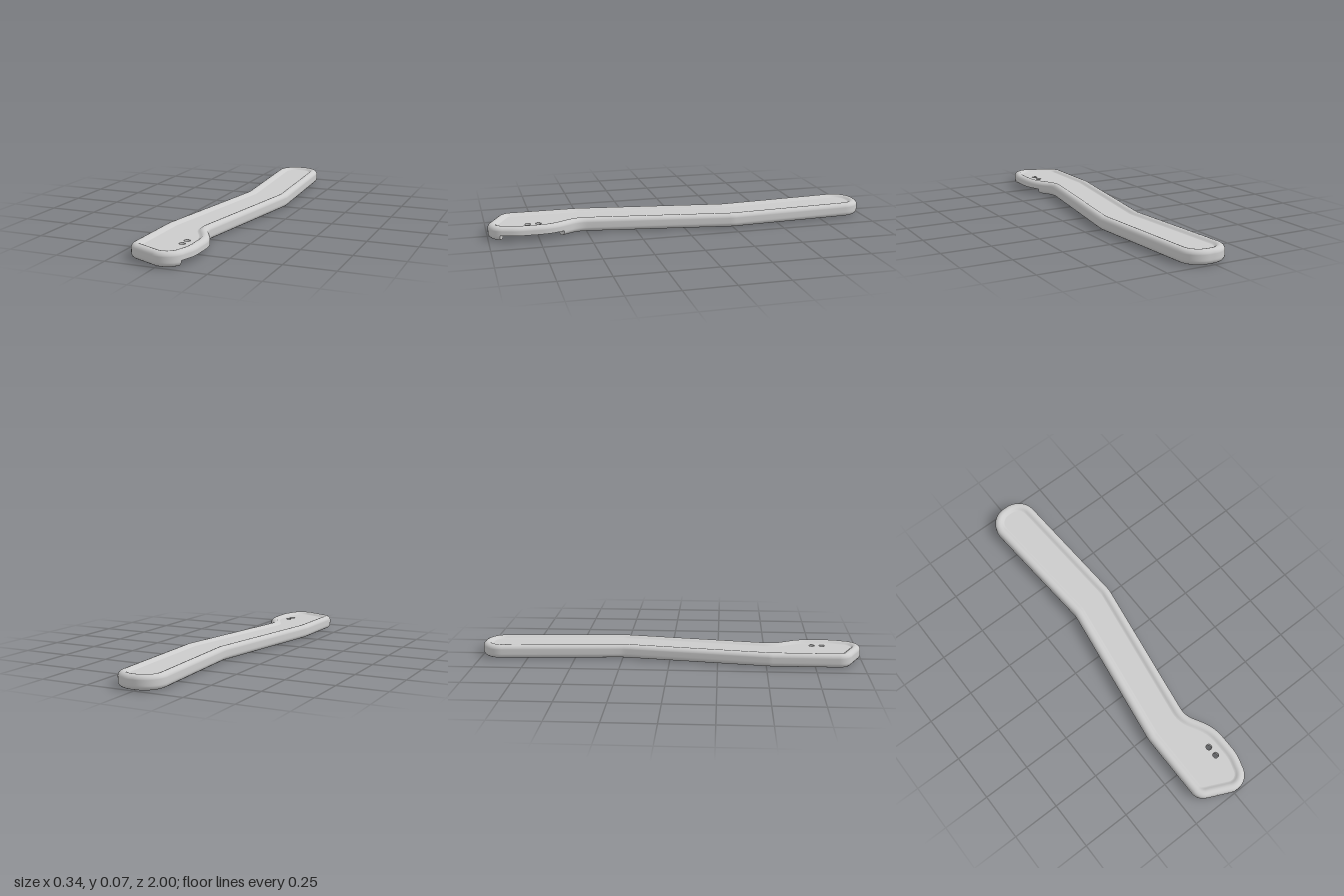
import * as THREE from 'three';

// Outline corners [x, z, fillet radius], clockwise seen from above
const CORNERS = [
  [-0.113, -1, 0.108], [0.127, -1, 0.108], [0.17, -0.25, 0.15], [0.048, 0.54, 0.12],
  [0.129, 0.68, 0.25], [0.129, 0.86, 0.2], [0.075, 1.032, 0.09],
  [-0.175, 0.915, 0.07], [-0.175, 0.52, 0.15], [-0.06, -0.25, 0.15],
];
// Rim section [inset, height] from the bottom floor, round the outside, to the top floor
const LOWER = [[0.052, 0.013], [0.047, 0.012], [0.041, 0.007], [0.034, 0.002], [0.026, 0],
  [0.018, 0.001], [0.011, 0.004], [0.005, 0.009], [0.001, 0.016], [0, 0.022], [0, 0.028]];
const HEIGHT = 0.072, CEILING = 0.028;
const PROFILE = [...LOWER, ...LOWER.slice(0, -1).reverse().map(([d, y]) => [d, HEIGHT - y])];
const HOLES = [[0.037, 0.745], [0.037, 0.798]], HOLE_R = 0.015;

// Polygon with filleted corners, resampled in short steps
function roundedOutline(corners) {
  const v = corners.map(([x, z]) => new THREE.Vector2(x, z)), n = v.length, raw = [];
  corners.forEach(([, , r], i) => {
    const a = v[(i + n - 1) % n].clone().sub(v[i]).normalize();
    const b = v[(i + 1) % n].clone().sub(v[i]).normalize();
    const half = Math.acos(a.dot(b)) / 2;
    const centre = a.clone().add(b).normalize().multiplyScalar(r / Math.sin(half)).add(v[i]);
    const t = r / Math.tan(half);
    const from = v[i].clone().addScaledVector(a, t).sub(centre);
    const to = v[i].clone().addScaledVector(b, t).sub(centre);
    const sweep = Math.atan2(from.cross(to), from.dot(to));
    const steps = Math.max(3, Math.ceil(Math.abs(sweep) / 0.13));
    for (let s = 0; s <= steps; s++)
      raw.push(from.clone().rotateAround(new THREE.Vector2(), sweep * s / steps).add(centre));
  });
  const out = [];
  raw.forEach((p, i) => {
    const q = raw[(i + 1) % raw.length], steps = Math.max(1, Math.ceil(p.distanceTo(q) / 0.03));
    for (let s = 0; s < steps; s++) out.push(p.clone().lerp(q, s / steps));
  });
  return out;
}

// Mitred inward directions for every outline point
function inwardDirections(pts) {
  const n = pts.length;
  const normals = pts.map((p, i) => {
    const t = pts[(i + 1) % n].clone().sub(p).normalize();
    return new THREE.Vector2(-t.y, t.x);
  });
  return normals.map((b, i) => {
    const a = normals[(i + n - 1) % n];
    return a.clone().add(b).divideScalar(1 + a.dot(b));
  });
}

function buffer(positions, index) {
  const g = new THREE.BufferGeometry();
  g.setAttribute('position', new THREE.Float32BufferAttribute(positions, 3));
  g.setIndex(index);
  g.computeVertexNormals();
  return g;
}

// Horizontal sheet facing up or down, optionally pierced by the two holes
function sheet(points, y, up, pierced) {
  const s = up ? -1 : 1;
  const shape = new THREE.Shape(points.map(p => new THREE.Vector2(p.x, s * p.y)));
  if (pierced) for (const [x, z] of HOLES)
    shape.holes.push(new THREE.Path().absarc(x, s * z, HOLE_R, 0, Math.PI * 2));
  return new THREE.ShapeGeometry(shape, 8).rotateX(s * Math.PI / 2).translate(0, y, 0);
}

export function createModel() {
  const group = new THREE.Group();
  const material = new THREE.MeshStandardMaterial({ color: 0xcccccc });
  const thin = new THREE.MeshStandardMaterial({ color: 0xcccccc, side: THREE.DoubleSide });
  const add = (name, geometry, mat = material) => {
    const mesh = new THREE.Mesh(geometry, mat);
    mesh.name = name;
    group.add(mesh);
    return mesh;
  };

  const outline = roundedOutline(CORNERS), inward = inwardDirections(outline), n = outline.length;
  const at = (i, d) => outline[i % n].clone().addScaledVector(inward[i % n], d);
  const inset = PROFILE[0][0], floorY = PROFILE[0][1];

  // Span of the rim that is cut away underneath
  const i0 = outline.findIndex(p => p.x > 0 && p.y > 0.6);
  const i1 = outline.findIndex(p => p.x > 0 && p.y > 0.94);

  // Rounded rim swept round the outline
  const pos = [], idx = [];
  for (const [d, y] of PROFILE)
    for (let i = 0; i < n; i++) { const p = at(i, d); pos.push(p.x, y, p.y); }
  for (let k = 0; k < PROFILE.length - 1; k++)
    for (let i = 0; i < n; i++) {
      if (k < LOWER.length - 1 && i >= i0 && i < i1) continue;
      const a = k * n + i, b = k * n + (i + 1) % n;
      idx.push(a, a + n, b, b, a + n, b + n);
    }
  add('rim', buffer(pos, idx));

  // Recessed top panel
  add('topPanel', sheet(outline.map((_, i) => at(i, inset)), HEIGHT - floorY, true, true));

  // Inner edge of the underside notch
  const notchEdge = new THREE.SplineCurve([[-0.09, 0.63], [-0.075, 0.68], [-0.03, 0.72],
    [-0.015, 0.79], [-0.03, 0.86], [-0.02, 0.9], [0.02, 0.91]]
    .map(([x, z]) => new THREE.Vector2(x, z))).getPoints(30);

  // Recessed bottom panel, going round everything except the notch
  const around = [];
  for (let i = i1; i <= i0 + n; i++) around.push(at(i, inset));
  add('bottomPanel', sheet([...around, ...notchEdge], floorY, false, false));

  // Notch ceiling
  const edge = [];
  for (let i = i0; i <= i1; i++) edge.push(at(i, 0));
  const ceiling = [...edge, at(i1, inset), ...notchEdge.slice().reverse(), at(i0, inset)];
  add('notchCeiling', sheet(ceiling, CEILING, false, true));

  // Notch walls: cut rim end, curved inner wall, other cut rim end
  const column = i => LOWER.map(([d, y]) => { const p = at(i, d); return [p.x, y, p.y]; });
  const path = [...column(i0).reverse(), ...notchEdge.map(p => [p.x, floorY, p.y]), ...column(i1)];
  const wallPos = [], wallIdx = [];
  path.forEach(([x, y, z], i) => {
    wallPos.push(x, y, z, x, CEILING, z);
    if (i) wallIdx.push(2 * i - 2, 2 * i, 2 * i - 1, 2 * i - 1, 2 * i, 2 * i + 1);
  });
  const wall = buffer(wallPos, wallIdx).toNonIndexed();
  wall.computeVertexNormals();
  add('notchWall', wall, thin);

  // Sleeves of the two through holes
  const depth = HEIGHT - floorY - CEILING;
  for (const [x, z] of HOLES)
    add('holeSleeve', new THREE.CylinderGeometry(HOLE_R, HOLE_R, depth, 16, 1, true), thin)
      .position.set(x, CEILING + depth / 2, z);

  return group;
}
